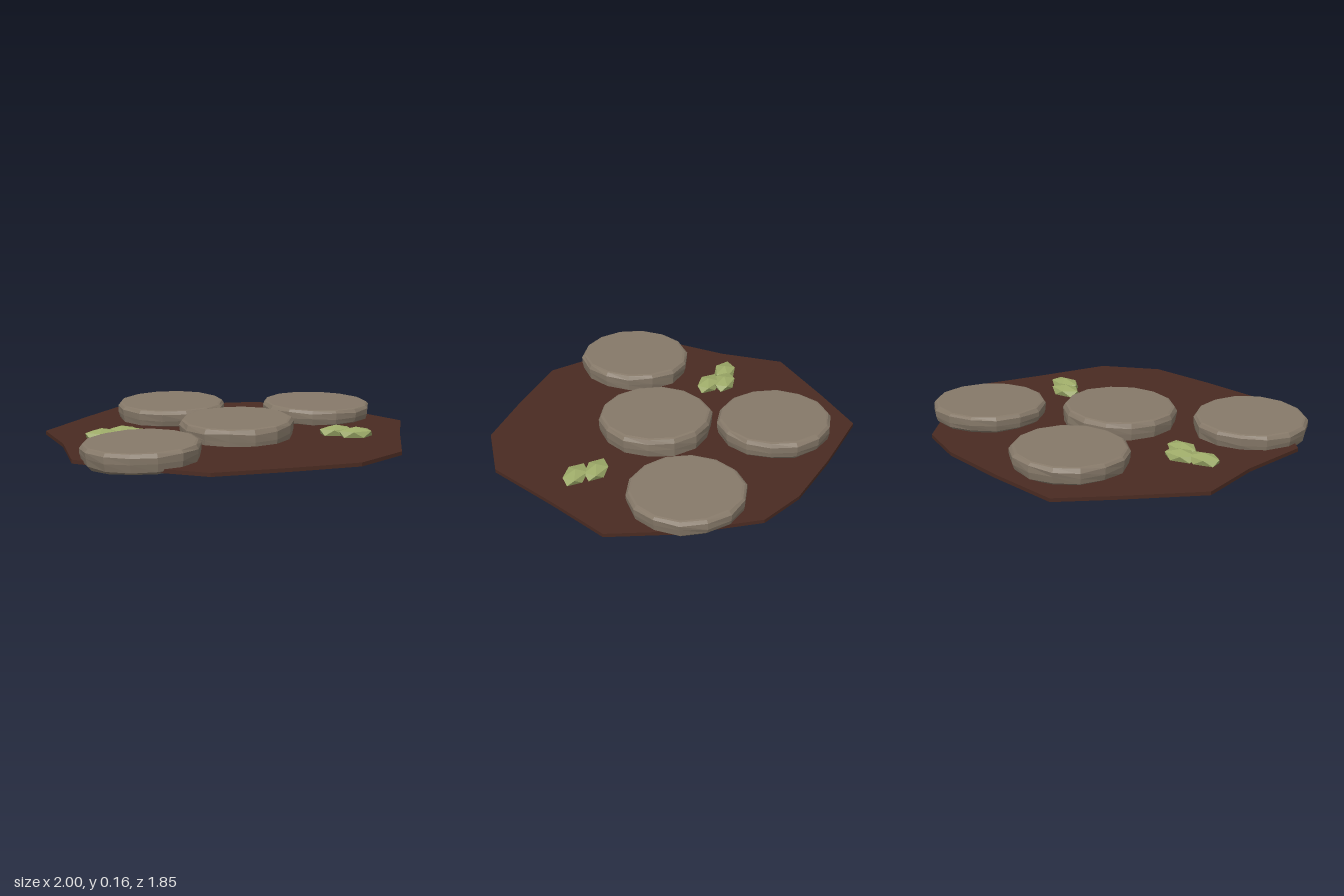
import * as THREE from 'three';

const mat = (name, color) => {
  const m = new THREE.MeshStandardMaterial({ color, flatShading: true });
  m.name = name;
  return m;
};

// Repeatable value in -1..1 for an integer pair
const noise = (a, b) => {
  const s = Math.sin(a * 12.9898 + b * 78.233) * 43758.5453;
  return (s - Math.floor(s)) * 2 - 1;
};

// Round slab of stone with a bevelled rim and a slightly uneven outline
function stoneGeometry(seed, height) {
  const sides = 14;
  const profile = [
    [0, 0], [0.17, 0], [0.275, 0.08], [0.3, 0.25], [0.308, 0.55],
    [0.31, 0.82], [0.297, 0.97], [0.285, 1], [0, 1],
  ].map(([r, y]) => new THREE.Vector2(r, y * height));
  const geo = new THREE.LatheGeometry(profile, sides);
  const pos = geo.attributes.position;
  for (let i = 0; i < pos.count; i++) {
    const side = Math.floor(i / profile.length) % sides;
    const ring = i % profile.length;
    const k = 1 + 0.018 * noise(side, seed) + 0.007 * noise(side + 31, ring + seed);
    const inner = ring > 1 && ring < 6;
    pos.setXYZ(i, pos.getX(i) * k,
      pos.getY(i) + (inner ? 0.006 * noise(side + 7, ring * 3 + seed) : 0),
      pos.getZ(i) * k * 1.015);
  }
  return geo;
}

export function createModel() {
  const model = new THREE.Group();
  model.name = 'steppingStones';
  const soil = mat('darkSoil', 0x4a2b22);
  const stone = mat('greyBrownStone', 0x867969);
  const moss = mat('mossGreen', 0x9daa68);

  // Thin soil patch with an irregular outline (x, z)
  const outline = [
    [-0.43, -0.93], [-0.02, -0.89], [0.36, -0.83], [0.62, -0.72], [0.85, -0.36],
    [1, 0], [0.83, 0.35], [0.65, 0.75], [0.35, 0.92], [-0.02, 0.915],
    [-0.43, 0.89], [-0.65, 0.72], [-1, 0.39], [-0.96, 0], [-0.98, -0.36], [-0.67, -0.69],
  ];
  const shape = new THREE.Shape(outline.map(([x, z]) => new THREE.Vector2(x, -z)));
  const groundGeo = new THREE.ExtrudeGeometry(shape, { depth: 0.02, bevelEnabled: false });
  groundGeo.rotateX(-Math.PI / 2);
  const ground = new THREE.Mesh(groundGeo, soil);
  ground.name = 'soilPatch';
  ground.position.y = 0.033;
  model.add(ground);

  // Stepping stones: x, bottom y, z, height, tilt about x, tilt about z
  [
    [-0.21, 0.03, -0.533, 0.118, 0.015, 0.015],
    [0.595, 0.032, -0.297, 0.108, 0.015, -0.015],
    [-0.025, 0.005, 0.093, 0.146, 0.02, 0.02],
    [-0.652, 0.016, 0.447, 0.122, 0, 0.025],
  ].forEach(([x, y, z, h, tiltX, tiltZ], i) => {
    const mesh = new THREE.Mesh(stoneGeometry(i + 1, h), stone);
    mesh.name = `steppingStone${i + 1}`;
    mesh.position.set(x, y, z);
    mesh.rotation.set(tiltX, 0, tiltZ);
    model.add(mesh);
  });

  // Faceted moss tufts: x, z, turn
  const tuftGeo = new THREE.IcosahedronGeometry(1, 0);
  tuftGeo.rotateZ(Math.atan(2 / (1 + Math.sqrt(5))));
  tuftGeo.scale(0.105, 0.036, 0.066);
  [
    [-0.73, -0.085, 0.12], [-0.61, -0.12, 0.1], [-0.56, -0.04, -0.1],
    [0.5, 0.235, -0.06], [0.58, 0.32, -0.1],
  ].forEach(([x, z, turn], i) => {
    const mesh = new THREE.Mesh(tuftGeo, moss);
    mesh.name = `mossTuft${i + 1}`;
    mesh.position.set(x, 0.069, z);
    mesh.rotation.y = turn;
    model.add(mesh);
  });

  return model;
}
